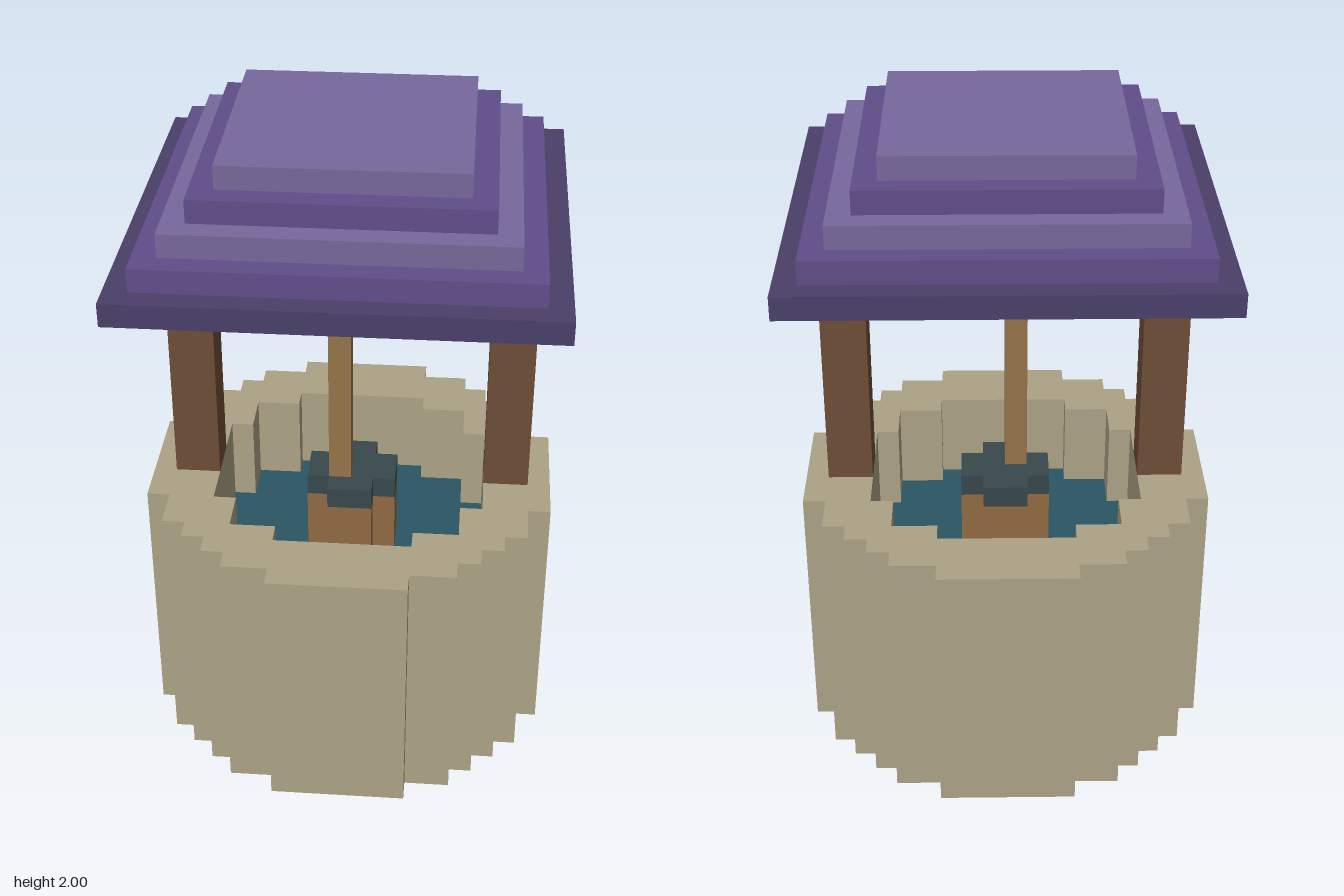
import * as THREE from 'three';

const U = 2 / 29; // one block

const mat = (name, color) => {
  const m = new THREE.MeshStandardMaterial({ color });
  m.name = name;
  return m;
};

// Stepped ring outline, mirrored from one quadrant of block corners
function steppedOutline(quadrant) {
  const pts = [];
  const flipped = [...quadrant].reverse();
  for (const [sx, sy, list] of [[1, 1, quadrant], [-1, 1, flipped], [-1, -1, quadrant], [1, -1, flipped]]) {
    for (const [x, y] of list) pts.push(new THREE.Vector2(sx * x * U, sy * y * U));
  }
  return pts;
}

// Upright prism of a stepped outline, optionally with a hole
function prism(name, outline, y0, y1, material, hole) {
  const shape = new THREE.Shape(steppedOutline(outline));
  if (hole) shape.holes.push(new THREE.Path(steppedOutline(hole)));
  const geo = new THREE.ExtrudeGeometry(shape, { depth: (y1 - y0) * U, bevelEnabled: false });
  geo.rotateX(-Math.PI / 2);
  geo.translate(0, y0 * U, 0);
  const mesh = new THREE.Mesh(geo, material);
  mesh.name = name;
  return mesh;
}

// Box given by its limits in blocks
function block(name, [x0, x1], [y0, y1], [z0, z1], material) {
  const geo = new THREE.BoxGeometry((x1 - x0) * U, (y1 - y0) * U, (z1 - z0) * U);
  const mesh = new THREE.Mesh(geo, material);
  mesh.position.set((x0 + x1) / 2 * U, (y0 + y1) / 2 * U, (z0 + z1) / 2 * U);
  mesh.name = name;
  return mesh;
}

export function createModel() {
  const stone = mat('stone', 0xada286);
  const timber = mat('timber', 0x6e4d38);
  const ropeTan = mat('rope tan', 0x95744a);
  const bucketWood = mat('bucket wood', 0x916a42);
  const iron = mat('iron', 0x37484c);
  const waterBlue = mat('water blue', 0x2b5563);
  const roofDark = mat('roof dark', 0x4a4069);
  const roofPurple = mat('roof purple', 0x604d89);
  const roofLight = mat('roof light', 0x77689b);

  const well = new THREE.Group();
  well.name = 'well';

  // Round stone wall, open below, with water inside
  const outer = [[9, 3], [8, 3], [8, 5], [7, 5], [7, 6], [6, 6], [6, 7], [5, 7], [5, 8], [3, 8], [3, 9]];
  const inner = [[6, 3], [5, 3], [5, 5], [3, 5], [3, 6]];
  well.add(prism('stoneWall', outer, 0, 12, stone, inner));
  well.add(prism('water', inner, 7, 8, waterBlue));

  // Bucket with an iron rim, hanging on a rope
  const round = [[2, 1], [1, 1], [1, 2]];
  well.add(prism('bucketBody', round, 8, 11, bucketWood));
  well.add(prism('bucketRim', round, 11, 12, iron));
  well.add(block('rope', [-1, 0], [12, 22], [0, 1], ropeTan));

  // Frame
  well.add(block('leftPost', [6, 8], [12, 22], [-1, 1], timber));
  well.add(block('rightPost', [-8, -6], [12, 22], [-1, 1], timber));
  well.add(block('crossBeam', [-8, 8], [22, 24], [-1, 1], timber));

  // Stepped roof
  [roofDark, roofPurple, roofLight, roofPurple, roofLight].forEach((m, i) => {
    const h = 9 - i;
    well.add(block('roofStep' + (i + 1), [-h, h], [24 + i, 25 + i], [-h, h], m));
  });

  return well;
}
